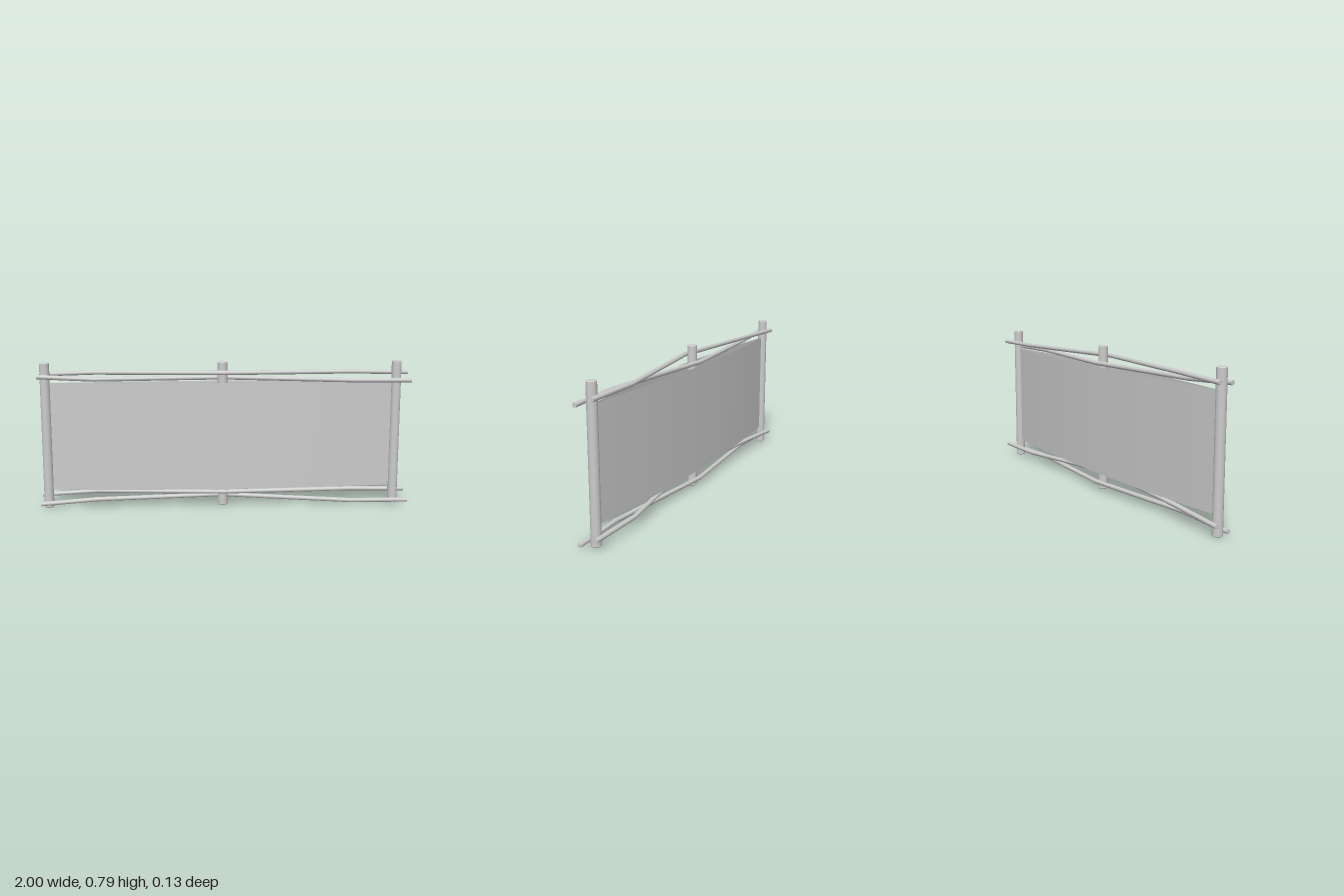
import * as THREE from 'three';

const POSTS = [-0.96, -0.018, 0.925];
const POST_R = 0.026, POST_H = 0.785, RAIL_R = 0.012;
const SHEET_Y0 = 0.097, SHEET_Y1 = 0.677, BULGE = 0.05;

// Stations of the rails along x, and their z offsets as they weave past the posts
const RAIL_X = [-0.998, -0.7, -0.018, 0.68, 0.998];
const WEAVE_A = [-0.038, -0.027, 0.045, -0.053, -0.047];
const WEAVE_B = [0.032, 0.018, -0.044, 0.053, 0.043];

const RAILS = [
  ['upperRailA', [0.72, 0.729, 0.73, 0.722, 0.717], WEAVE_A],
  ['upperRailB', [0.714, 0.697, 0.696, 0.687, 0.683], WEAVE_B],
  ['lowerRailA', [0.06, 0.079, 0.082, 0.064, 0.06], WEAVE_A],
  ['lowerRailB', [0.024, 0.043, 0.044, 0.025, 0.02], WEAVE_B],
];

export function createModel() {
  const model = new THREE.Group();
  const grey = new THREE.MeshStandardMaterial({ color: 0xcccccc });
  const thin = new THREE.MeshStandardMaterial({ color: 0xcccccc, side: THREE.DoubleSide });

  const add = (name, geometry, material = grey) => {
    const mesh = new THREE.Mesh(geometry, material);
    mesh.name = name;
    model.add(mesh);
    return mesh;
  };

  // Upright posts: plain cylinders with a tiny chamfer at both ends
  const c = 0.003;
  const cap = (y0, y1, r0, r1) =>
    new THREE.CylinderGeometry(r1, r0, y1 - y0, 24).translate(0, (y0 + y1) / 2, 0);
  POSTS.forEach((x, i) => {
    const name = ['rightPost', 'middlePost', 'leftPost'][i];
    add(name, cap(c, POST_H - c, POST_R, POST_R)).position.x = x;
    add(name + 'Foot', cap(0, c, POST_R - c, POST_R)).position.x = x;
    add(name + 'Top', cap(POST_H - c, POST_H, POST_R, POST_R - c)).position.x = x;
  });

  // Weaving rails: a cylinder laid along x, each ring moved to its station
  for (const [name, ys, zs] of RAILS) {
    const n = RAIL_X.length - 1;
    const g = new THREE.CylinderGeometry(RAIL_R, RAIL_R, n, 12, n).rotateZ(-Math.PI / 2);
    const p = g.attributes.position;
    for (let i = 0; i < p.count; i++) {
      const k = Math.round(p.getX(i) + n / 2);
      p.setXYZ(i, RAIL_X[k], p.getY(i) + ys[k], p.getZ(i) + zs[k]);
    }
    add(name, g);
  }

  // Two thin sheets bowing around the middle post, meeting at the end posts
  const x0 = POSTS[0], x1 = POSTS[2];
  for (const side of [1, -1]) {
    const g = new THREE.PlaneGeometry(x1 - x0, SHEET_Y1 - SHEET_Y0, 24, 1);
    if (side < 0) g.rotateY(Math.PI);
    g.translate((x0 + x1) / 2, (SHEET_Y0 + SHEET_Y1) / 2, 0);
    const p = g.attributes.position;
    for (let i = 0; i < p.count; i++) {
      const t = (2 * (p.getX(i) - x0)) / (x1 - x0) - 1;
      p.setZ(i, side * BULGE * (1 - t * t));
    }
    g.computeVertexNormals();
    add(side > 0 ? 'frontSheet' : 'backSheet', g, thin);
  }

  return model;
}
